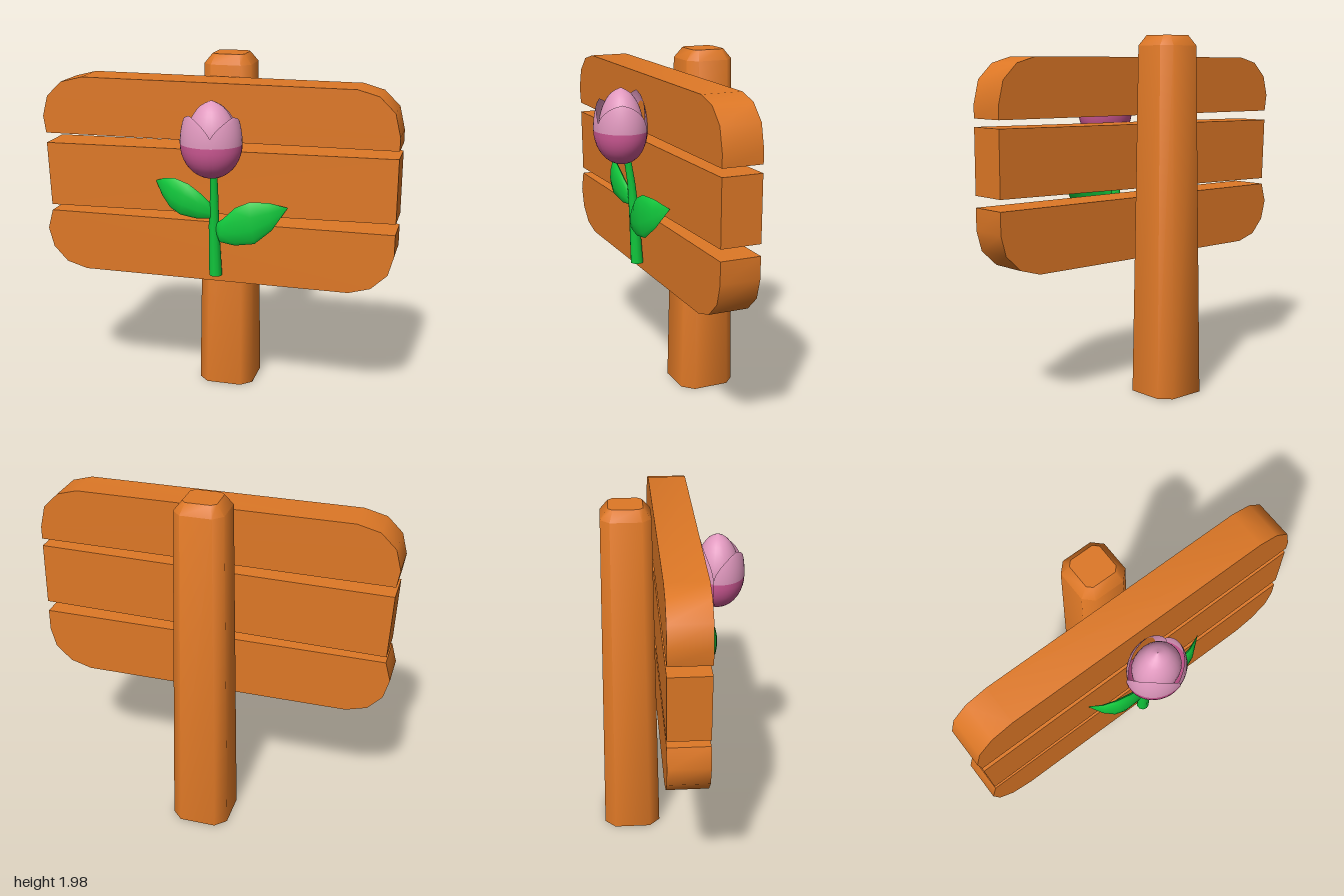
import * as THREE from 'three';
import { toCreasedNormals } from 'three/addons/utils/BufferGeometryUtils.js';

const mat = (name, color, side = THREE.FrontSide) =>
  Object.assign(new THREE.MeshStandardMaterial({ color, side }), { name });

// Skin a list of rings (arrays of [x, y, z], equal length) into a closed surface
function loft(rings, crease) {
  const n = rings[0].length, pos = rings.flat(2), idx = [];
  for (let i = 0; i < rings.length - 1; i++) {
    for (let k = 0; k < n; k++) {
      const a = i * n + k, b = i * n + (k + 1) % n;
      idx.push(a, b, b + n, a, b + n, a + n);
    }
  }
  const g = new THREE.BufferGeometry();
  g.setAttribute('position', new THREE.Float32BufferAttribute(pos, 3));
  g.setIndex(idx);
  return toCreasedNormals(g, crease);
}

export function createModel() {
  const wood = mat('wood', 0xde7826);
  const green = mat('leaf green', 0x10c83c);
  const pink = mat('petal pink', 0xe098be, THREE.DoubleSide);
  const magenta = mat('petal magenta', 0xd05a96, THREE.DoubleSide);

  const model = new THREE.Group();
  model.name = 'flowerSign';
  const add = (parent, name, geometry, material) => {
    const m = new THREE.Mesh(geometry, material);
    m.name = name;
    parent.add(m);
    return m;
  };

  // Post: tapering square with cut corners and a bevelled top
  const postRing = (y, h, c) => [
    [h - c, h], [h, h - c], [h, c - h], [h - c, -h],
    [c - h, -h], [-h, c - h], [-h, h - c], [c - h, h],
  ].map(([x, z]) => [x, y, z - 0.24]);
  add(model, 'post', loft([
    postRing(0, 0, 0), postRing(0, 0.163, 0.06), postRing(1.92, 0.135, 0.05),
    postRing(1.975, 0.092, 0.025), postRing(1.975, 0, 0),
  ], 0.9), wood);

  // Planks: outlines extruded through the board thickness
  const planks = {
    topPlank: [[-0.985, 1.535], [1, 1.548], [1, 1.62], [0.97, 1.745], [0.885, 1.828], [0.77, 1.86],
      [-0.76, 1.86], [-0.885, 1.828], [-0.97, 1.745], [-1, 1.63]],
    middlePlank: [[-0.97, 1.115], [1, 1.152], [1, 1.505], [-0.985, 1.478]],
    bottomPlank: [[-0.77, 0.74], [0.76, 0.74], [0.88, 0.775], [0.97, 0.86], [1, 0.97], [1, 1.09],
      [-0.97, 1.08], [-1, 0.97], [-0.97, 0.86], [-0.89, 0.775]],
  };
  for (const [name, pts] of Object.entries(planks)) {
    const shape = new THREE.Shape(pts.map(p => new THREE.Vector2(...p)));
    const g = new THREE.ExtrudeGeometry(shape, { depth: 0.22, bevelEnabled: false });
    g.translate(0, 0, -0.085);
    add(model, name, toCreasedNormals(g, 0.65), wood);
  }

  const flower = new THREE.Group();
  flower.name = 'flower';
  model.add(flower);

  // Stem: leaning, tapering tube
  const stemRing = (x, y, z, r) => Array.from({ length: 10 }, (_, k) => {
    const a = k / 10 * Math.PI * 2;
    return [x + r * Math.sin(a), y, z + r * Math.cos(a)];
  });
  add(flower, 'stem', loft([
    stemRing(0.018, 0.787, 0.167, 0), stemRing(0.018, 0.787, 0.167, 0.036),
    stemRing(0.012, 1.08, 0.18, 0.029), stemRing(0.018, 1.25, 0.197, 0.023),
    stemRing(0.022, 1.42, 0.225, 0.02),
  ], 0.9), green);

  // Leaves: lens sections between two edges, stations are [x1, y1, x2, y2, z, thickness]
  const leafRing = ([x1, y1, x2, y2, z, t]) => Array.from({ length: 10 }, (_, k) => {
    const a = k / 10 * Math.PI * 2, s = (1 - Math.cos(a)) / 2;
    return [x1 + (x2 - x1) * s, y1 + (y2 - y1) * s, z + t * Math.sin(a)];
  });
  add(flower, 'leftLeaf', loft([
    [0.02, 1.08, 0.02, 1.08, 0.185, 0], [0.03, 1.1, 0.03, 1.03, 0.19, 0.012],
    [0.07, 1.13, 0.05, 0.995, 0.205, 0.02], [0.14, 1.2, 0.14, 0.985, 0.215, 0.025],
    [0.22, 1.237, 0.25, 1.003, 0.213, 0.025], [0.32, 1.235, 0.34, 1.08, 0.19, 0.018],
    [0.417, 1.2, 0.417, 1.2, 0.14, 0],
  ].map(leafRing), 1.1), green);
  add(flower, 'rightLeaf', loft([
    [0.02, 1.16, 0.02, 1.16, 0.19, 0], [0, 1.125, 0, 1.21, 0.2, 0.012],
    [-0.07, 1.122, -0.05, 1.265, 0.215, 0.02], [-0.17, 1.14, -0.12, 1.317, 0.22, 0.025],
    [-0.23, 1.175, -0.2, 1.342, 0.212, 0.022], [-0.285, 1.235, -0.27, 1.332, 0.185, 0.015],
    [-0.337, 1.3, -0.337, 1.3, 0.13, 0],
  ].map(leafRing), 1.1), green);

  // Bloom: round bud wrapped by three two-tone petals
  const bloom = new THREE.Group();
  bloom.name = 'bloom';
  bloom.position.set(0.02, 1.56, 0.255);
  bloom.scale.z = 0.88;
  flower.add(bloom);

  const budProfile = new THREE.SplineCurve([[0, -0.17], [0.1, -0.1], [0.135, 0.02], [0.115, 0.12],
    [0.065, 0.195], [0.001, 0.23]].map(p => new THREE.Vector2(...p)));
  add(bloom, 'bud', new THREE.LatheGeometry(budProfile.getPoints(16), 24), pink);

  const rad = THREE.MathUtils.degToRad;
  function petalPart(angle, spread, height, size, upper) {
    const g = new THREE.PlaneGeometry(1, 1, 12, 10), p = g.attributes.position;
    for (let i = 0; i < p.count; i++) {
      const t = p.getY(i) + 0.5;
      let y, r, w = rad(spread);
      if (upper) {
        y = height * t;
        r = 0.17 - 0.03 * (y / 0.16) ** 2;
        w *= Math.pow(Math.max(0, 1 - t * t), 0.65);
      } else {
        y = -0.19 * Math.cos(t * Math.PI / 2);
        r = 0.17 * Math.sin(t * Math.PI / 2);
      }
      const a = rad(angle) + p.getX(i) * 2 * w;
      p.setXYZ(i, size * r * Math.sin(a), y, size * r * Math.cos(a));
    }
    g.computeVertexNormals();
    return g;
  }
  const petals = [
    ['frontPetal', -45, 60, 0.16, 1],
    ['sidePetal', 70, 64, 0.155, 0.98],
    ['backPetal', 190, 66, 0.21, 0.95],
  ];
  for (const [name, ...dims] of petals) {
    add(bloom, name + 'Base', petalPart(...dims, false), magenta);
    add(bloom, name + 'Tip', petalPart(...dims, true), pink);
  }
  return model;
}
